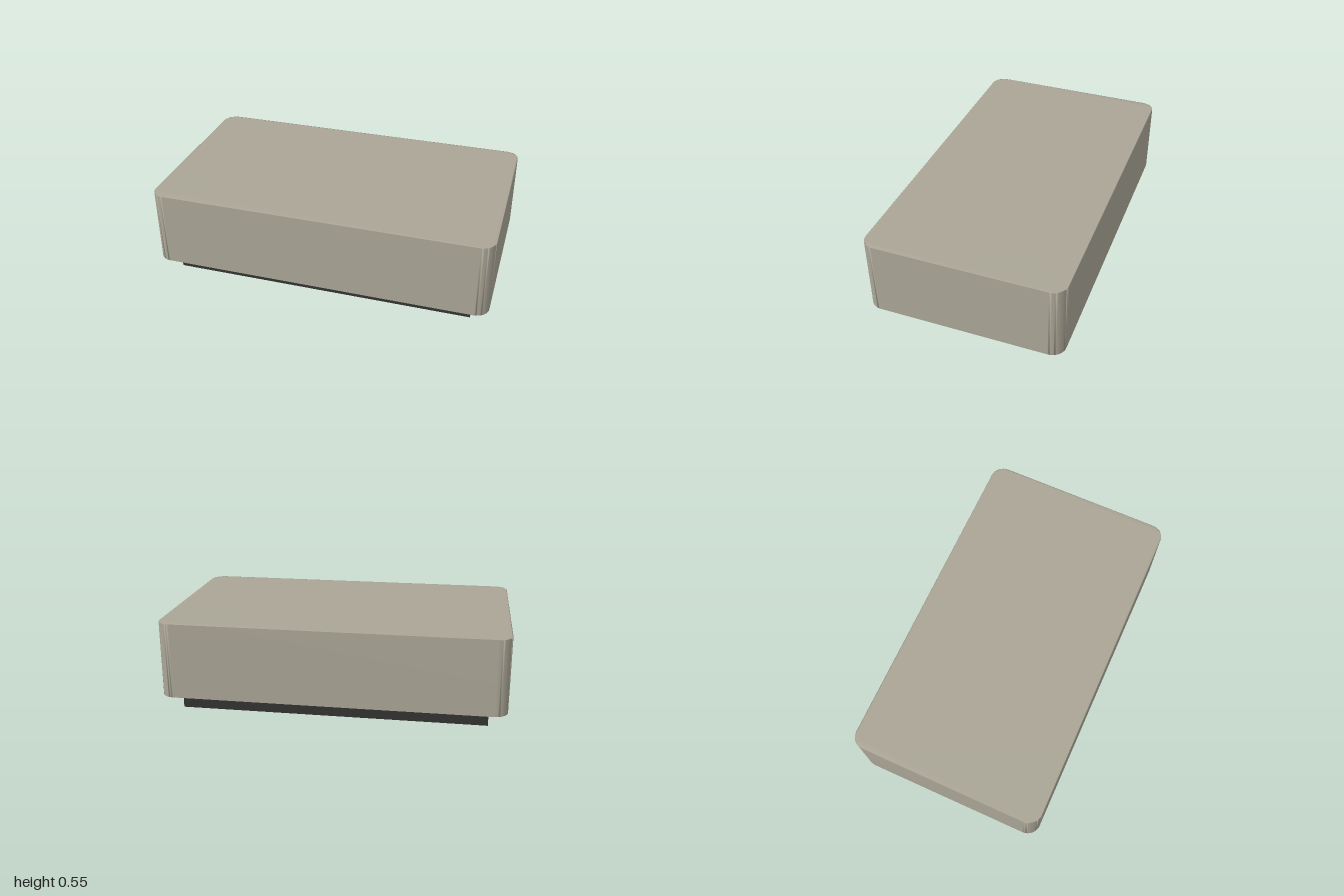
import * as THREE from 'three';
import { mergeVertices } from 'three/addons/utils/BufferGeometryUtils.js';

// Rounded rectangle outline centred on the origin
function roundedRect(w, d, r) {
  const x = w / 2 - r, y = d / 2 - r, q = Math.PI / 2;
  const shape = new THREE.Shape();
  shape.moveTo(-x, -y - r);
  [[x, -y], [x, y], [-x, y], [-x, -y]].forEach(([cx, cy], i) => {
    shape.absarc(cx, cy, r, (i - 1) * q, i * q, false);
  });
  return shape;
}

// Slab with rounded upright edges, standing on y = 0, with normals shared across all edges
function softSlab(w, h, d, r) {
  const extruded = new THREE.ExtrudeGeometry(roundedRect(w, d, r), {
    depth: h, bevelEnabled: false, curveSegments: 8,
  });
  extruded.rotateX(-Math.PI / 2);
  extruded.deleteAttribute('normal');
  extruded.deleteAttribute('uv');
  const geometry = mergeVertices(extruded, 1e-4);
  geometry.computeVertexNormals();
  return geometry;
}

export function createModel() {
  const model = new THREE.Group();
  model.name = 'roundedBlockOnPlinth';

  // Main block
  const body = new THREE.Mesh(
    softSlab(2, 0.445, 1.15, 0.08),
    new THREE.MeshStandardMaterial({ color: 0xaaa596 })
  );
  body.name = 'body';
  body.position.y = 0.1;
  model.add(body);

  // Dark recessed plinth
  const plinth = new THREE.Mesh(
    new THREE.BoxGeometry(1.79, 0.1, 0.945),
    new THREE.MeshStandardMaterial({ color: 0x333331 })
  );
  plinth.name = 'plinth';
  plinth.position.y = 0.05;
  model.add(plinth);

  return model;
}
